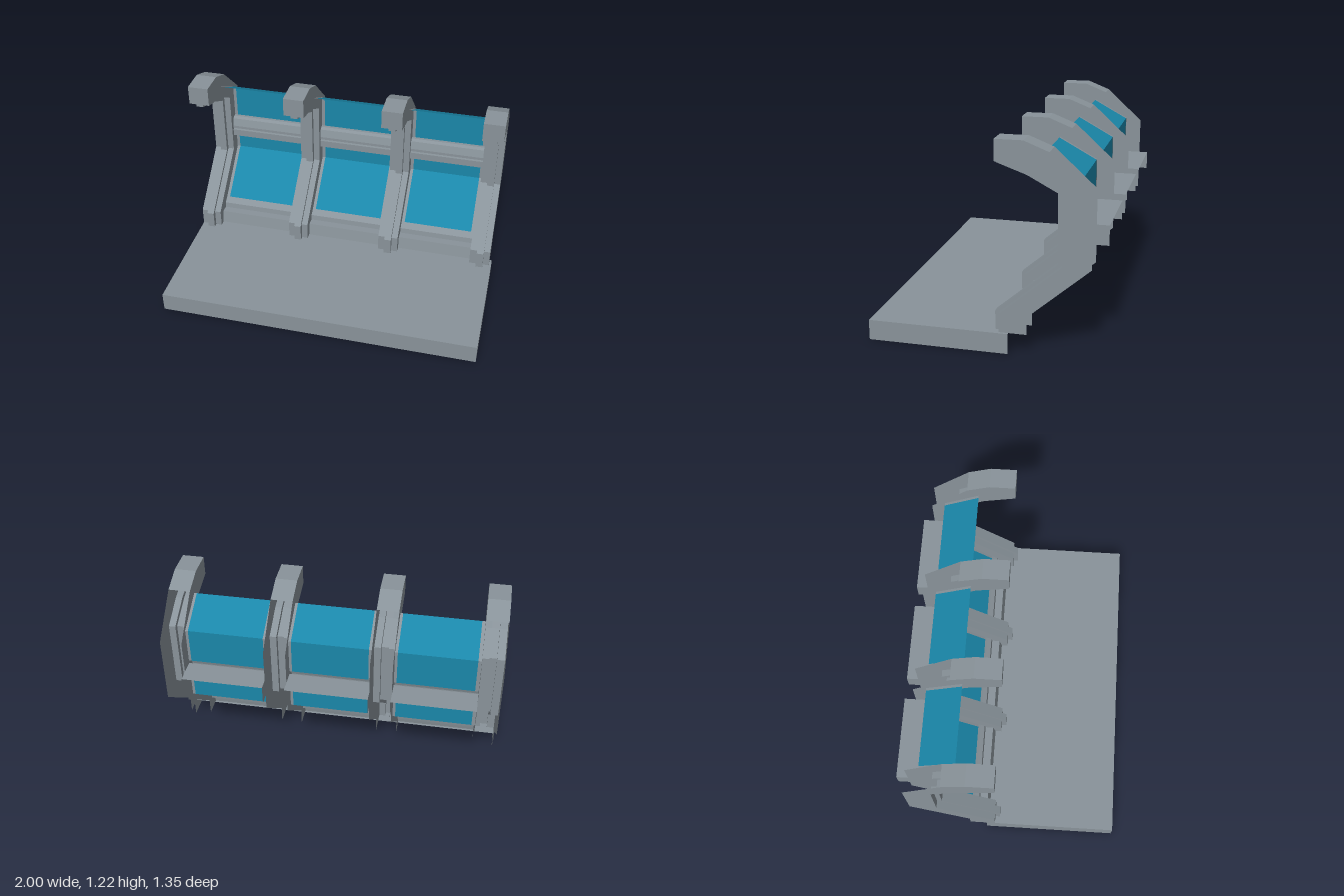
import * as THREE from 'three';

const grey = new THREE.MeshStandardMaterial({ color: 0x89939a, side: THREE.DoubleSide });
grey.name = 'grey metal';
const blue = new THREE.MeshStandardMaterial({ color: 0x1a87a9, side: THREE.DoubleSide });
blue.name = 'blue glass';

// All profiles are lists of [z, y] points.
const RIB_FRONT = [[-0.09, 0.12], [-0.09, 0.23], [-0.44, 0.53], [-0.44, 0.945], [-0.27, 1.04], [-0.07, 1.095]];
const RIB_RIDGE = [[-0.06, 0.12], [-0.06, 0.23], [-0.41, 0.53], [-0.41, 0.93], [-0.24, 1.02], [-0.07, 1.08]];
const RIB_ROOF = [[-0.07, 1.095], [-0.07, 1.215], [-0.23, 1.215], [-0.37, 1.16]];
const RIB_BACK = [[-0.605, 0.945], [-0.605, 0.53], [-0.25, 0.225], [-0.25, 0.12]];
const LOWER_GLASS = [[-0.24, 0.26], [-0.52, 0.505], [-0.52, 0.61]];
const UPPER_GLASS = [[-0.52, 0.765], [-0.52, 0.985], [-0.3, 1.105]];
const SILL = [[-0.13, 0.12], [-0.145, 0.2], [-0.195, 0.2], [-0.2, 0.235], [-0.225, 0.25], [-0.24, 0.26]];
const BEAM = [[-0.52, 0.61], [-0.5, 0.61], [-0.485, 0.628], [-0.465, 0.628], [-0.465, 0.674], [-0.49, 0.676],
  [-0.49, 0.685], [-0.465, 0.687], [-0.465, 0.705], [-0.48, 0.755], [-0.5, 0.765], [-0.52, 0.765]];

function mesh(name, geometry, material = grey) {
  const m = new THREE.Mesh(geometry, material);
  m.name = name;
  return m;
}

// Flat-faceted sheet that sweeps a profile from x0 to x1
function band(path, x0, x1) {
  const pos = [];
  for (let i = 0; i + 1 < path.length; i++) {
    const [za, ya] = path[i], [zb, yb] = path[i + 1];
    pos.push(x0, ya, za, x1, ya, za, x1, yb, zb, x0, ya, za, x1, yb, zb, x0, yb, zb);
  }
  const g = new THREE.BufferGeometry();
  g.setAttribute('position', new THREE.Float32BufferAttribute(pos, 3));
  g.computeVertexNormals();
  return g;
}

// Flat plate standing at a given x; facing is +1 or -1
function plate(pts, x, facing) {
  const g = new THREE.ShapeGeometry(new THREE.Shape(pts.map(([z, y]) => new THREE.Vector2(z, y))));
  g.rotateY(-Math.PI / 2);
  if (facing > 0) {
    g.index.array.reverse();
    g.attributes.normal.array.forEach((v, i, a) => { a[i] = -v; });
  }
  return g.translate(x, 0, 0);
}

// Slab made of a swept sheet and two end plates, open where the sheet is
function slab(name, sheet, outline, x0, x1) {
  const g = new THREE.Group();
  g.name = name;
  g.add(
    mesh(name + 'Surface', band(sheet, x0, x1)),
    mesh(name + 'End', plate(outline, x0, -1)), mesh(name + 'End', plate(outline, x1, 1)),
  );
  return g;
}

// Curved rib: hollow and open at the back, with a raised ridge along the front
function rib(x0) {
  const g = new THREE.Group();
  g.name = 'rib';
  const x1 = x0 + 0.13, a = x0 + 0.045, b = x0 + 0.09;
  const side = [...RIB_FRONT, ...RIB_ROOF.slice(1), ...RIB_BACK];
  const step = [...RIB_FRONT, ...[...RIB_RIDGE].reverse()];
  g.add(
    mesh('ribSide', plate(side, x0, -1)), mesh('ribSide', plate(side, x1, 1)),
    mesh('ribFront', band(RIB_FRONT, x0, a)), mesh('ribFront', band(RIB_FRONT, b, x1)),
    mesh('ribRidge', band([...RIB_RIDGE, [-0.07, 1.095]], a, b)),
    mesh('ridgeSide', plate(step, a, -1)), mesh('ridgeSide', plate(step, b, 1)),
    mesh('ribRoof', band(RIB_ROOF, x0, x1)),
  );
  return g;
}

// Window bay filling the space between two ribs
function bay(x0, x1) {
  const g = new THREE.Group();
  g.name = 'windowBay';
  const w0 = x0 + 0.02, w1 = x1 - 0.016;
  for (const path of [LOWER_GLASS, UPPER_GLASS]) {
    g.add(
      mesh('windowGlass', band(path, w0, w1), blue),
      mesh('frameEdge', band(path, x0, w0)), mesh('frameEdge', band(path, w1, x1)),
    );
  }
  // The shelf is open at the back and underneath
  const shelfTop = [[-0.52, 0.745], [-0.675, 0.745]];
  g.add(
    mesh('sill', band(SILL, x0, x1)),
    mesh('crossBeam', band(BEAM, x0, x1)),
    slab('backShelf', shelfTop, [...shelfTop, [-0.675, 0.63], [-0.52, 0.63]], x0, x1),
  );
  return g;
}

export function createModel() {
  const model = new THREE.Group();
  model.name = 'windowWall';

  // Floor slab, open at the back and underneath
  const floorSheet = [[0.675, 0], [0.675, 0.12], [-0.145, 0.12]];
  model.add(slab('floor', floorSheet, [...floorSheet, [-0.145, 0]], -1, 1));

  const ribStarts = [-1, -0.38, 0.24, 0.855];
  ribStarts.forEach((x, i) => {
    model.add(rib(x));
    if (i < 3) model.add(bay(x + 0.13, ribStarts[i + 1]));
  });
  return model;
}
